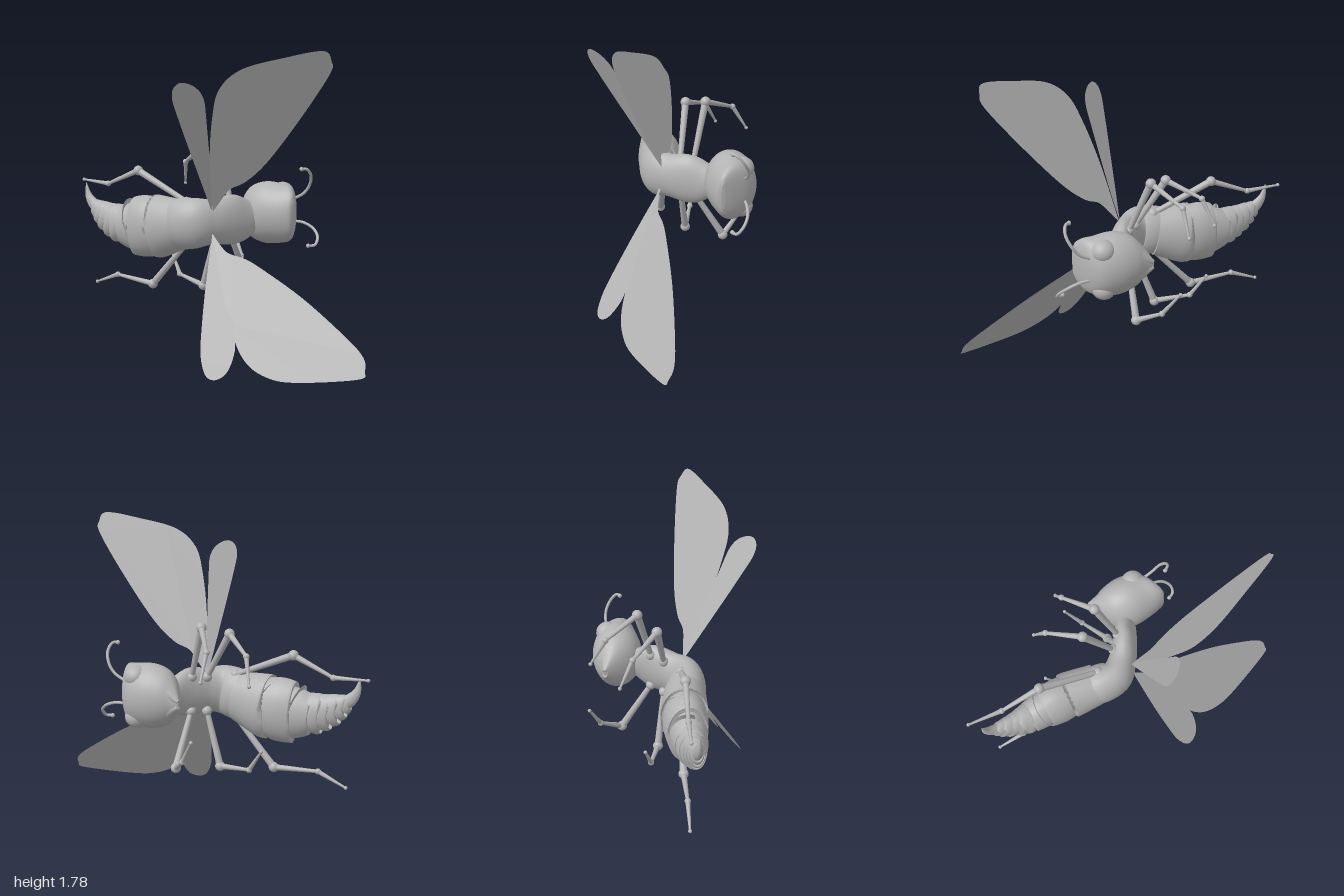
import * as THREE from 'three';

const grey = new THREE.MeshStandardMaterial({ color: 0xb4b4b4 });
grey.name = 'grey';
const wingGrey = new THREE.MeshStandardMaterial({ color: 0xb4b4b4, side: THREE.DoubleSide });
wingGrey.name = 'wing grey';

const V = (p) => new THREE.Vector3(p[0], p[1], p[2]);

// Capped loft through oval sections [x, y, z, radius up, radius sideways]
function loft(sections, { steps = 1, sides = 28, axis = null } = {}) {
  const centres = new THREE.CatmullRomCurve3(sections.map(V), false, 'catmullrom');
  const radii = new THREE.CatmullRomCurve3(
    sections.map((s) => new THREE.Vector3(s[3], s[4], 0)), false, 'catmullrom');
  const n = (sections.length - 1) * steps;
  const rings = [];
  for (let i = 0; i <= n; i++) {
    const c = centres.getPoint(i / n), r = radii.getPoint(i / n);
    const t = axis ? V(axis) : centres.getTangent(i / n);
    const w = new THREE.Vector3(0, 0, 1).addScaledVector(t, -t.z).normalize();
    const v = w.clone().cross(t);
    const ring = (k) => ({ c, v, w, a: r.x * k, b: r.y * k });
    if (i === 0) rings.push(ring(0), ring(1));
    rings.push(ring(1));
    if (i === n) rings.push(ring(1), ring(0));
  }
  const pos = [], index = [];
  rings.forEach(({ c, v, w, a, b }, i) => {
    for (let j = 0; j < sides; j++) {
      const q = (j / sides) * Math.PI * 2;
      const p = c.clone().addScaledVector(v, a * Math.cos(q)).addScaledVector(w, b * Math.sin(q));
      pos.push(p.x, p.y, p.z);
      if (i === rings.length - 1) continue;
      const k = (j + 1) % sides, o = i * sides;
      index.push(o + j, o + k, o + sides + j, o + k, o + sides + k, o + sides + j);
    }
  });
  const g = new THREE.BufferGeometry();
  g.setAttribute('position', new THREE.Float32BufferAttribute(pos, 3));
  g.setIndex(index);
  g.computeVertexNormals();
  return g;
}

function add(parent, name, geometry, material = grey) {
  const m = new THREE.Mesh(geometry, material);
  m.name = name;
  parent.add(m);
  return m;
}

function ball(parent, name, p, rx, ry = rx, rz = rx) {
  const m = add(parent, name, new THREE.SphereGeometry(1, 20, 14));
  m.position.set(...p);
  m.scale.set(rx, ry, rz);
  return m;
}

// Tapered rod between two points
function rod(parent, name, a, b, ra, rb) {
  const d = V(b).sub(V(a));
  const m = add(parent, name, new THREE.CylinderGeometry(rb, ra, d.length(), 12));
  m.position.copy(V(a)).addScaledVector(d, 0.5);
  m.quaternion.setFromUnitVectors(new THREE.Vector3(0, 1, 0), d.normalize());
}

// Leg through hip, knee, ankle and toe
function leg(parent, name, [hip, knee, ankle, toe]) {
  const g = new THREE.Group();
  g.name = name;
  parent.add(g);
  ball(g, 'hip', hip, 0.03);
  rod(g, 'upperLeg', hip, knee, 0.016, 0.022);
  ball(g, 'knee', knee, 0.03);
  rod(g, 'lowerLeg', knee, ankle, 0.018, 0.01);
  ball(g, 'ankle', ankle, 0.018);
  rod(g, 'foot', ankle, toe, 0.014, 0.006);
  ball(g, 'toe', toe, 0.011);
}

// Flat wing: outline in x and y, leaning back by a plane rule
function wing(parent, name, base, bx, by, outline) {
  const shape = new THREE.Shape();
  shape.moveTo(base[0], base[1]);
  shape.splineThru([...outline, base].map((p) => new THREE.Vector2(p[0], p[1])));
  const g = new THREE.ShapeGeometry(shape, 70);
  const p = g.attributes.position;
  for (let i = 0; i < p.count; i++) {
    p.setZ(i, base[2] + bx * (p.getX(i) - base[0]) + by * (p.getY(i) - base[1]));
  }
  g.computeVertexNormals();
  add(parent, name, g, wingGrey);
}

export function createModel() {
  const model = new THREE.Group();
  model.name = 'insect';

  // Thorax bending from the abdomen to the neck
  add(model, 'thorax', loft([
    [-0.28, 0.75, 0.04, 0.14, 0.09], [-0.2, 0.77, 0.06, 0.155, 0.115],
    [-0.1, 0.785, 0.075, 0.15, 0.1], [-0.02, 0.79, 0.02, 0.135, 0.085],
    [0.05, 0.795, -0.06, 0.15, 0.075], [0.1, 0.8, -0.13, 0.135, 0.065],
    [0.15, 0.81, -0.21, 0.08, 0.05],
  ], { steps: 5 }));

  // Abdomen: overlapping rings, each flaring towards the rear
  const rings = [
    [-0.21, 0.765, 0.05, 0.15, 0.12], [-0.39, 0.735, 0.012, 0.195, 0.137],
    [-0.55, 0.72, 0, 0.185, 0.115], [-0.65, 0.722, 0, 0.125, 0.095],
    [-0.705, 0.735, 0, 0.118, 0.08], [-0.755, 0.752, -0.003, 0.103, 0.066],
    [-0.8, 0.775, -0.006, 0.087, 0.055], [-0.84, 0.8, -0.01, 0.066, 0.043],
    [-0.872, 0.825, -0.012, 0.042, 0.03],
  ];
  for (let i = 1; i < rings.length; i++) {
    const a = rings[i - 1], b = rings[i];
    const k = i === 1 ? 1 : 0.9;
    const front = [a[0], a[1], a[2], a[3] * k, a[4] * k];
    const mid = a.map((v, j) => (v + b[j]) / 2 * (j > 2 ? 1.01 : 1));
    if (i === 3) { mid[3] = 0.145; mid[4] = 0.1; front[3] = 0.155; }
    const rear = [b[0] - 0.008, b[1], b[2], b[3] * 0.95, b[4] * 0.95];
    add(model, 'abdomenRing' + i, loft([front, mid, b, rear], { steps: 3 }));
  }
  add(model, 'sting', loft([
    [-0.845, 0.81, -0.012, 0.045, 0.032], [-0.89, 0.845, -0.014, 0.036, 0.025],
    [-0.922, 0.895, -0.015, 0.022, 0.016], [-0.936, 0.97, -0.015, 0.002, 0.002],
  ], { steps: 4, sides: 16 }));

  // Head: slices along x
  const head = new THREE.Group();
  head.name = 'head';
  model.add(head);
  add(head, 'skull', loft([
    [0, 0.82, -0.383, 0.03, 0.012], [0.05, 0.82, -0.32, 0.11, 0.085],
    [0.11, 0.82, -0.297, 0.165, 0.13], [0.2, 0.82, -0.288, 0.19, 0.15],
    [0.3, 0.82, -0.28, 0.18, 0.138], [0.36, 0.825, -0.255, 0.165, 0.105],
    [0.395, 0.83, -0.215, 0.125, 0.055], [0.41, 0.83, -0.195, 0.08, 0.012],
  ], { steps: 4, sides: 36, axis: [1, 0, 0] }));
  for (const s of [1, -1]) {
    ball(head, 'eye', [0.28, 0.82 + s * 0.12, -0.335], 0.07, 0.065, 0.07);
    rod(head, 'jaw', [0.07, 0.82 + s * 0.05, -0.36], [0.0, 0.82 + s * 0.015, -0.39], 0.045, 0.012);
  }

  // Curled feelers
  const feelers = [
    [[0.34, 0.9, -0.335], [0.42, 0.945, -0.33], [0.46, 1.0, -0.32], [0.48, 1.06, -0.285], [0.465, 1.1, -0.25], [0.44, 1.1, -0.235]],
    [[0.34, 0.77, -0.335], [0.42, 0.765, -0.33], [0.49, 0.735, -0.315], [0.53, 0.69, -0.28], [0.525, 0.65, -0.245], [0.49, 0.645, -0.23]],
  ];
  for (const f of feelers) {
    add(head, 'feeler', new THREE.TubeGeometry(new THREE.CatmullRomCurve3(f.map(V)), 28, 0.009, 8));
    ball(head, 'feelerTip', f[5], 0.013);
  }

  // Legs
  leg(model, 'leftFrontLeg', [[0.03, 0.9, -0.11], [-0.065, 1.225, -0.2], [-0.17, 1.14, -0.395], [-0.17, 0.995, -0.485]]);
  leg(model, 'leftMiddleLeg', [[-0.04, 0.89, -0.045], [-0.2, 1.18, -0.11], [-0.355, 1.105, -0.27], [-0.4, 0.96, -0.35]]);
  leg(model, 'leftHindLeg', [[-0.19, 0.9, 0.03], [-0.55, 1.065, -0.015], [-0.79, 0.967, -0.045], [-0.99, 0.98, -0.07]]);
  leg(model, 'rightFrontLeg', [[0.035, 0.69, -0.11], [0.06, 0.395, -0.29], [-0.04, 0.5, -0.43], [-0.12, 0.65, -0.5]]);
  leg(model, 'rightMiddleLeg', [[-0.04, 0.68, -0.045], [-0.145, 0.365, -0.1], [-0.35, 0.4, -0.175], [-0.435, 0.54, -0.22]]);
  leg(model, 'rightHindLeg', [[-0.18, 0.66, 0.03], [-0.445, 0.365, 0], [-0.72, 0.39, -0.03], [-0.89, 0.322, -0.05]]);

  // Wings
  wing(model, 'leftForewing', [0.01, 0.86, 0.08], -0.443, 0.534, [
    [0.065, 1.18], [0.13, 1.42], [0.2, 1.58], [0.33, 1.685], [0.545, 1.745], [0.735, 1.78], [0.768, 1.73],
    [0.75, 1.66], [0.57, 1.42], [0.36, 1.17], [0.225, 1.05], [0.13, 1.0], [0.06, 0.92]]);
  wing(model, 'leftHindwing', [0.005, 0.86, 0.08], -0.71, 0.536, [
    [-0.035, 1.4], [-0.035, 1.55], [0.01, 1.612], [0.07, 1.595], [0.1, 1.53], [0.088, 1.4], [0.04, 1.05]]);
  wing(model, 'rightForewing', [0.005, 0.745, 0.09], -0.253, -0.608, [
    [0.06, 0.69], [0.13, 0.635], [0.225, 0.61], [0.33, 0.565], [0.6, 0.42], [0.865, 0.245], [0.975, 0.155],
    [0.998, 0.09], [0.97, 0.048], [0.65, 0.013], [0.49, 0.03], [0.36, 0.1], [0.25, 0.245], [0.145, 0.46]]);
  wing(model, 'rightHindwing', [0.01, 0.74, 0.08], -0.35, -0.685, [
    [0.055, 0.45], [0.1, 0.22], [0.13, 0.11], [0.18, 0.025], [0.235, 0.005], [0.285, 0.04],
    [0.3, 0.125], [0.28, 0.21], [0.17, 0.46]]);

  return model;
}
